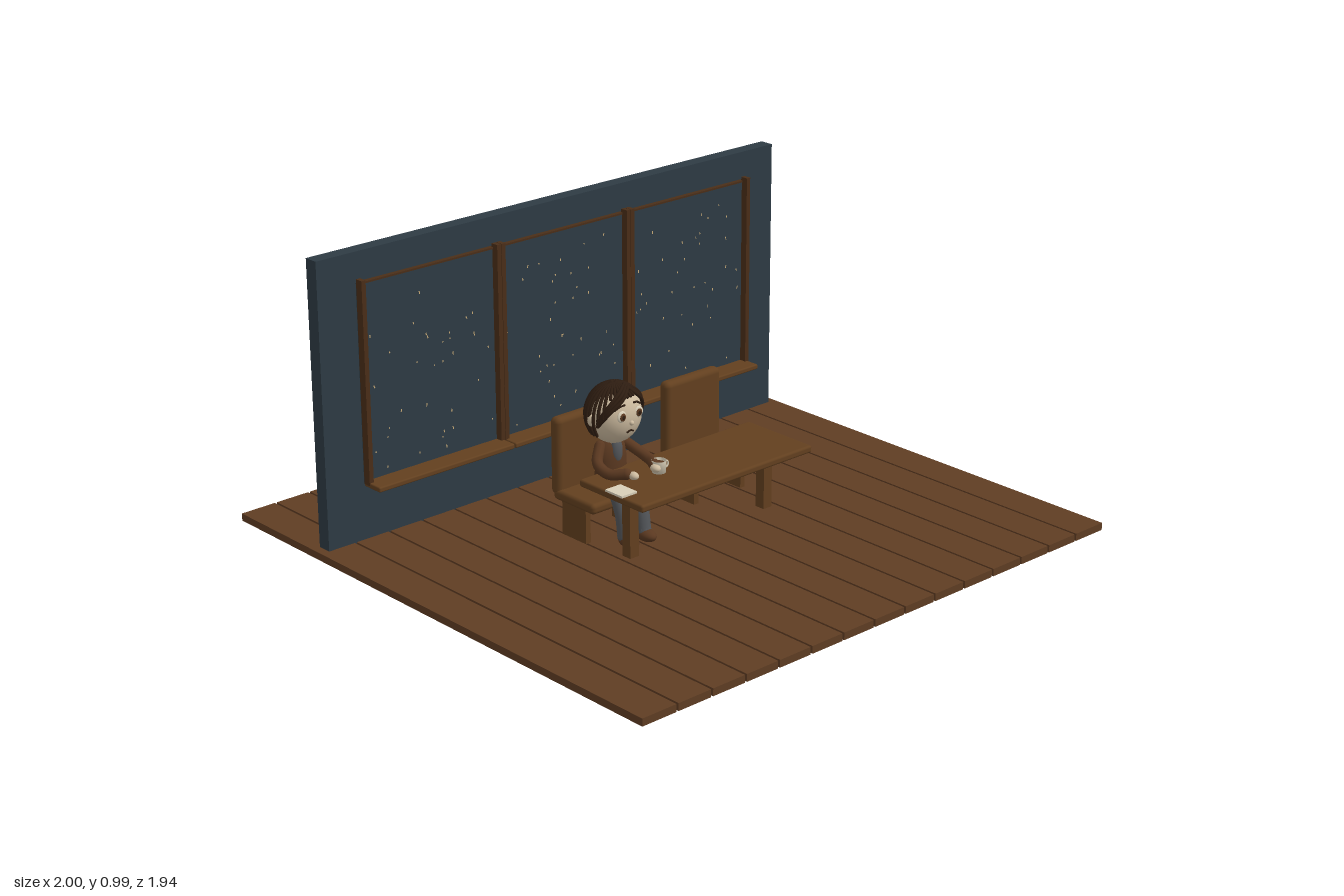
import * as THREE from 'three';
import { RoundedBoxGeometry } from 'three/addons/geometries/RoundedBoxGeometry.js';

const mat = (name, color) => Object.assign(new THREE.MeshStandardMaterial({ color }), { name });
const M = {
  floor: mat('floor wood', 0x5f3d23), wall: mat('night wall', 0x2e3b44),
  wood: mat('furniture wood', 0x63401f), frame: mat('dark frame wood', 0x4a2e18),
  skin: mat('skin', 0xcdbb9f), hair: mat('hair', 0x2e1d11), jacket: mat('jacket', 0x5a3820),
  cloth: mat('grey cloth', 0x53565a), cream: mat('cream', 0xd9cfb8), drop: mat('lit drops', 0xc9ab78),
};
M.drop.side = THREE.DoubleSide;

function add(parent, name, geo, material, x = 0, y = 0, z = 0) {
  const mesh = new THREE.Mesh(geo, material);
  mesh.name = name;
  mesh.position.set(x, y, z);
  parent.add(mesh);
  return mesh;
}
// Box given by its extents, optionally rounded
function box(parent, name, material, [x0, x1], [y0, y1], [z0, z1], r = 0) {
  const s = [x1 - x0, y1 - y0, z1 - z0];
  const geo = r ? new RoundedBoxGeometry(...s, 3, r) : new THREE.BoxGeometry(...s);
  return add(parent, name, geo, material, (x0 + x1) / 2, (y0 + y1) / 2, (z0 + z1) / 2);
}
function ball(parent, name, material, pos, scale) {
  const mesh = add(parent, name, new THREE.SphereGeometry(1, 24, 16), material, ...pos);
  mesh.scale.set(...scale);
  return mesh;
}
// Smooth limb or strand with rounded ends
function tube(parent, name, material, pts, r, sides = 10, caps = true) {
  const v = pts.map((p) => new THREE.Vector3(...p));
  add(parent, name, new THREE.TubeGeometry(new THREE.CatmullRomCurve3(v), 18, r, sides), material);
  if (caps) for (const p of [pts[0], pts[pts.length - 1]])
    add(parent, name + 'End', new THREE.SphereGeometry(r, sides, 8), material, ...p);
}
function group(parent, name, x = 0, y = 0, z = 0) {
  const g = new THREE.Group();
  g.name = name;
  g.position.set(x, y, z);
  parent.add(g);
  return g;
}
function seeded(seed) {
  return () => ((seed = (seed * 16807) % 2147483647) / 2147483647);
}

function buildRoom(root) {
  // Floorboards with narrow gaps
  const floor = group(root, 'floor');
  const pitch = 2 / 15;
  for (let i = 0; i < 15; i++) {
    const x = -1 + i * pitch;
    box(floor, 'floorboard', M.floor, [x + (i ? 0.004 : 0), x + pitch - (i < 14 ? 0.004 : 0)], [0, 0.025], [-0.972, 0.972]);
  }
  box(root, 'wall', M.wall, [-0.97, 0.97], [0.012, 0.985], [-0.583, -0.533]);

  // Three window bays with side posts, sill and drops on the glass
  const rand = seeded(77);
  for (let i = -1; i <= 1; i++) {
    const w = group(root, 'windowBay', i * 0.554);
    box(w, 'glass', M.wall, [-0.27, 0.27], [0.22, 0.885], [-0.535, -0.52]);
    box(w, 'topRail', M.frame, [-0.265, 0.265], [0.882, 0.888], [-0.535, -0.516]);
    for (const s of [-1, 1])
      box(w, 'post', M.frame, [s * 0.268 - 0.008, s * 0.268 + 0.008], [0.22, 0.9], [-0.523, -0.495]);
    box(w, 'sill', M.wood, [-0.275, 0.275], [0.211, 0.229], [-0.525, -0.445], 0.005);
    for (let k = 0; k < 34; k++) {
      const d = add(w, 'drop', new THREE.PlaneGeometry(0.004, 0.005 + rand() * 0.006), M.drop,
        (rand() - 0.5) * 0.49, 0.25 + rand() * 0.58, -0.517);
      d.rotation.z = (rand() - 0.5) * 0.8;
    }
  }
}

function buildFurniture(root) {
  const table = group(root, 'table');
  box(table, 'tableTop', M.wood, [-0.37, 0.37], [0.235, 0.26], [-0.02, 0.275], 0.008);
  for (const s of [-1, 1])
    box(table, 'tableLeg', M.wood, [s * 0.292 - 0.018, s * 0.292 + 0.018], [0.025, 0.237], [0.115, 0.152]);

  for (const x of [-0.222, 0.247]) {
    const chair = group(root, 'chair', x);
    box(chair, 'seat', M.wood, [-0.122, 0.122], [0.136, 0.172], [-0.18, 0.015], 0.014);
    box(chair, 'backrest', M.wood, [-0.122, 0.122], [0.15, 0.415], [-0.195, -0.15], 0.019);
    for (const s of [-1, 1])
      box(chair, 'sidePanel', M.wood, [s * 0.105 - 0.01, s * 0.105 + 0.01], [0.025, 0.14], [-0.142, -0.028]);
  }

  // Paper and mug
  box(root, 'paper', M.cream, [-0.375, -0.312], [0.26, 0.267], [0.11, 0.187]);
  const mug = group(root, 'mug', -0.145, 0.26, 0.105);
  const profile = [[0, 0], [0.022, 0], [0.025, 0.04], [0.021, 0.04], [0.019, 0.006], [0, 0.006]];
  add(mug, 'mugBody', new THREE.LatheGeometry(profile.map((p) => new THREE.Vector2(...p)), 20), M.cream);
  add(mug, 'drink', new THREE.CylinderGeometry(0.019, 0.019, 0.004, 20), M.jacket, 0, 0.03, 0);
  add(mug, 'mugHandle', new THREE.TorusGeometry(0.011, 0.003, 8, 16), M.cream, 0.028, 0.02, 0);
}

function buildPerson(root) {
  const p = group(root, 'person', -0.215);
  // Body
  const torso = [[0, 0.2], [0.05, 0.2], [0.058, 0.23], [0.056, 0.29], [0.05, 0.33], [0.025, 0.355], [0, 0.36]];
  const body = add(p, 'torso', new THREE.LatheGeometry(torso.map((q) => new THREE.Vector2(...q)), 24), M.jacket, 0, 0, -0.045);
  body.scale.z = 0.72;
  ball(p, 'hips', M.cloth, [0, 0.205, -0.045], [0.062, 0.036, 0.048]);
  ball(p, 'shirtFront', M.cloth, [0, 0.315, -0.018], [0.022, 0.045, 0.018]);
  add(p, 'neck', new THREE.CylinderGeometry(0.022, 0.026, 0.05, 16), M.skin, 0, 0.36, -0.04);
  for (const s of [-1, 1]) {
    tube(p, 'sleeve', M.jacket, [[s * 0.045, 0.335, -0.045], [s * 0.085, 0.295, -0.01], [s * 0.088, 0.278, 0.045], [s * 0.058, 0.285, 0.095]], 0.018);
    ball(p, 'hand', M.skin, [s * 0.046, 0.282, 0.115], [0.015, 0.013, 0.019]);
    tube(p, 'trouserLeg', M.cloth, [[s * 0.03, 0.205, -0.04], [s * 0.036, 0.2, 0.015], [s * 0.037, 0.14, 0.05], [s * 0.037, 0.06, 0.065]], 0.027);
    ball(p, 'shoe', M.jacket, [s * 0.037, 0.046, 0.08], [0.026, 0.021, 0.042]);
  }

  // Head and face
  const head = group(p, 'head', 0, 0.442, -0.028);
  const R = [0.092, 0.098, 0.084];
  ball(head, 'skull', M.skin, [0, 0, 0], R);
  const onFace = (x, y, lift = 0) => [x, y, R[2] * Math.sqrt(1 - (x / R[0]) ** 2 - (y / R[1]) ** 2) + lift];
  for (const s of [-1, 1]) {
    ball(head, 'eyeWhite', M.cream, onFace(s * 0.035, 0.015), [0.018, 0.019, 0.006]);
    ball(head, 'iris', M.jacket, onFace(s * 0.034, 0.014, 0.004), [0.012, 0.013, 0.004]);
    ball(head, 'pupil', M.hair, onFace(s * 0.034, 0.014, 0.007), [0.006, 0.007, 0.003]);
    tube(head, 'eyebrow', M.hair, [onFace(s * 0.02, 0.049, 0.002), onFace(s * 0.035, 0.046, 0.002), onFace(s * 0.053, 0.036, 0.002)], 0.0035, 6);
    ball(head, 'ear', M.skin, [s * 0.09, -0.005, -0.005], [0.012, 0.02, 0.014]);
  }
  ball(head, 'nose', M.skin, onFace(0, -0.012), [0.008, 0.008, 0.008]);
  tube(head, 'mouth', M.hair, [onFace(-0.012, -0.043, 0.001), onFace(0, -0.037, 0.001), onFace(0.012, -0.043, 0.001)], 0.003, 6);

  // Hair strands fanning from the crown, short above the face
  const n = 30;
  for (let i = 0; i < n; i++) {
    const a = (i / n) * Math.PI * 2;
    const front = Math.cos(a);
    const end = front > 0.55 ? 0.75 : front > 0.2 ? 0.1 : -0.6;
    const pts = [];
    for (let k = 0; k <= 6; k++) {
      const e = 1.48 + (end - 1.48) * (k / 6);
      pts.push([1.03 * R[0] * Math.cos(e) * Math.sin(a), 1.03 * R[1] * Math.sin(e), 1.04 * R[2] * Math.cos(e) * front]);
    }
    tube(head, 'hairStrand', M.hair, pts, 0.0055, 6);
  }
  // Parted fringe sweeping to both sides
  for (let k = 0; k < 3; k++) {
    const o = k * 0.009;
    tube(head, 'fringe', M.hair, [[0.02, 0.097 - o * 0.4, 0.025 + o], [-0.025, 0.085 - o, 0.053 + o], [-0.066, 0.05 - o, 0.052 + o * 0.4], [-0.09, 0.0 - o, 0.025]], 0.006, 8);
    tube(head, 'fringe', M.hair, [[0.02, 0.097 - o * 0.4, 0.025 + o], [0.048, 0.08 - o, 0.045 + o], [0.078, 0.045 - o, 0.04 + o * 0.4], [0.092, -0.015 - o, 0.018]], 0.006, 8);
  }
}

export function createModel() {
  const root = new THREE.Group();
  root.name = 'cafeScene';
  buildRoom(root);
  buildFurniture(root);
  buildPerson(root);
  return root;
}
